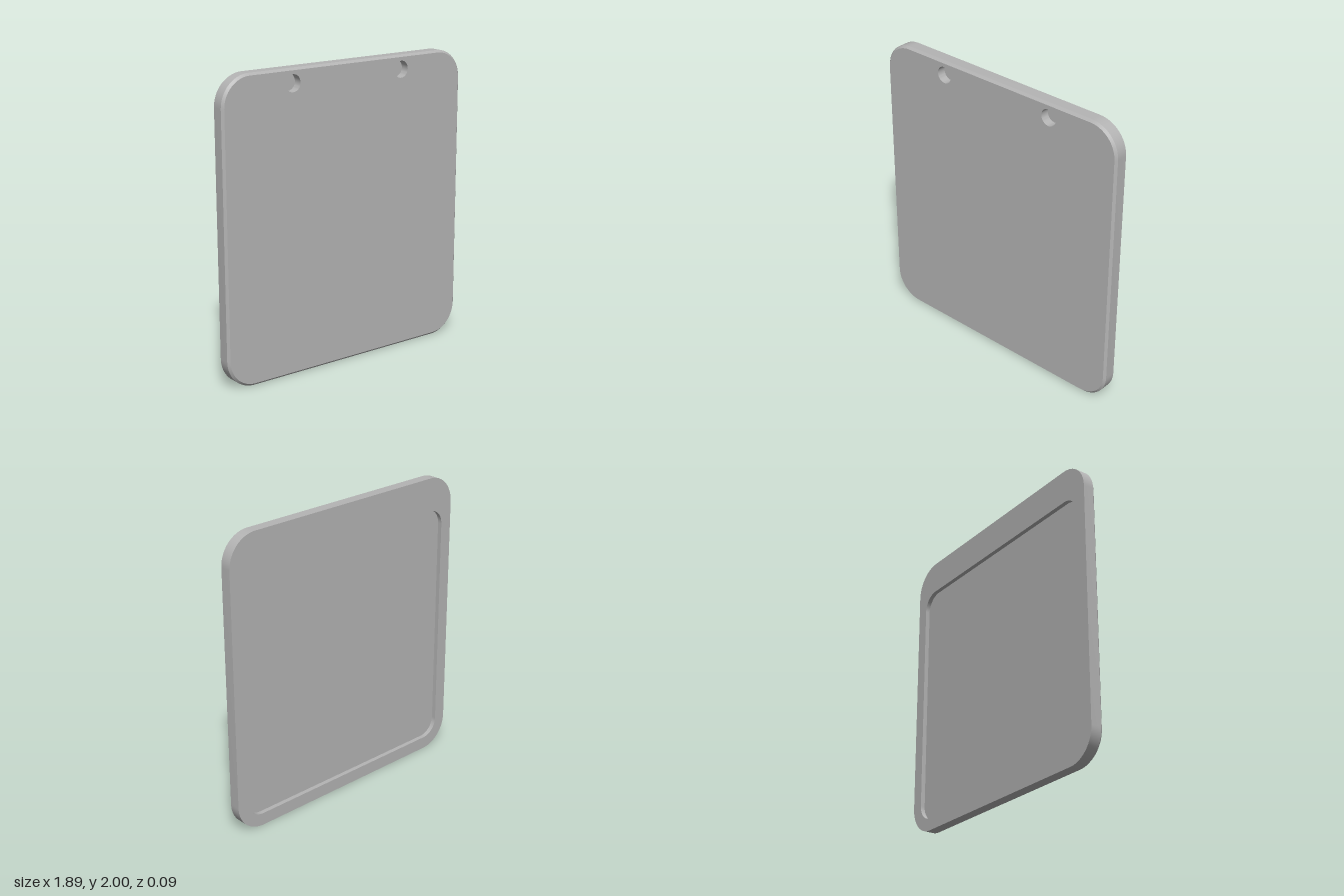
import * as THREE from 'three';
import { toCreasedNormals } from 'three/addons/utils/BufferGeometryUtils.js';

const BACK = -0.045, FRONT = 0.045, CHAMFER = 0.015;
const FLOOR = -0.015; // depth of the rear recess and of the blind holes

// Counter-clockwise rounded rectangle, symmetric in x
function roundedLoop(halfW, y0, y1, r, steps = 16) {
  const centres = [[halfW - r, y1 - r], [r - halfW, y1 - r], [r - halfW, y0 + r], [halfW - r, y0 + r]];
  const pts = [];
  centres.forEach(([cx, cy], q) => {
    for (let i = 0; i <= steps; i++) {
      const a = (q + i / steps) * Math.PI / 2;
      pts.push(new THREE.Vector2(cx + r * Math.cos(a), cy + r * Math.sin(a)));
    }
  });
  return pts;
}

function circleLoop(cx, cy, r, steps = 40) {
  return Array.from({ length: steps }, (_, i) => {
    const a = i / steps * Math.PI * 2;
    return new THREE.Vector2(cx + r * Math.cos(a), cy + r * Math.sin(a));
  });
}

// Wall joining two loops; faces outward when zA < zB, inward when zA > zB
function wall(loopA, zA, loopB, zB) {
  const pos = [], n = loopA.length;
  for (let i = 0; i < n; i++) {
    const j = (i + 1) % n;
    const a = [loopA[i].x, loopA[i].y, zA], b = [loopA[j].x, loopA[j].y, zA];
    const c = [loopB[j].x, loopB[j].y, zB], d = [loopB[i].x, loopB[i].y, zB];
    pos.push(...a, ...b, ...c, ...a, ...c, ...d);
  }
  const geo = new THREE.BufferGeometry();
  geo.setAttribute('position', new THREE.Float32BufferAttribute(pos, 3));
  return toCreasedNormals(geo, 0.5);
}

// Flat face with optional openings, turned round when it faces the back
function face(loop, z, holes = [], facesBack = false) {
  const shape = new THREE.Shape(loop);
  shape.holes = holes.map((h) => new THREE.Path(h));
  const geo = new THREE.ShapeGeometry(shape);
  if (facesBack) geo.rotateY(Math.PI);
  return geo.translate(0, 0, z);
}

export function createModel() {
  const model = new THREE.Group();
  model.name = 'plate';
  const grey = new THREE.MeshStandardMaterial({ color: 0xb4b4b4 });
  grey.name = 'grey';
  const add = (name, geo) => {
    const mesh = new THREE.Mesh(geo, grey);
    mesh.name = name;
    model.add(mesh);
  };

  const outer = roundedLoop(0.945, 0, 2, 0.2);
  const inset = roundedLoop(0.945 - CHAMFER, CHAMFER, 2 - CHAMFER, 0.2 - CHAMFER);
  const recess = roundedLoop(0.86, 0.085, 1.775, 0.115);
  const holes = [-0.43, 0.43].map((x) => circleLoop(x, 1.905, 0.056));

  // Outer body
  add('frontFace', face(inset, FRONT, holes));
  add('frontChamfer', wall(outer, FRONT - CHAMFER, inset, FRONT));
  add('sideWall', wall(outer, BACK, outer, FRONT - CHAMFER));

  // Rear rim and recess
  add('backRim', face(outer, BACK, [recess], true));
  add('recessWall', wall(recess, FLOOR, recess, BACK));
  add('recessFloor', face(recess, FLOOR, [], true));

  // Blind holes near the top edge
  holes.forEach((loop, i) => {
    const side = i ? 'left' : 'right';
    // Wall runs from front to floor so that it faces the hole's axis
    add(side + 'HoleWall', wall(loop, FRONT, loop, FLOOR));
    add(side + 'HoleFloor', face(loop, FLOOR));
  });
  return model;
}
